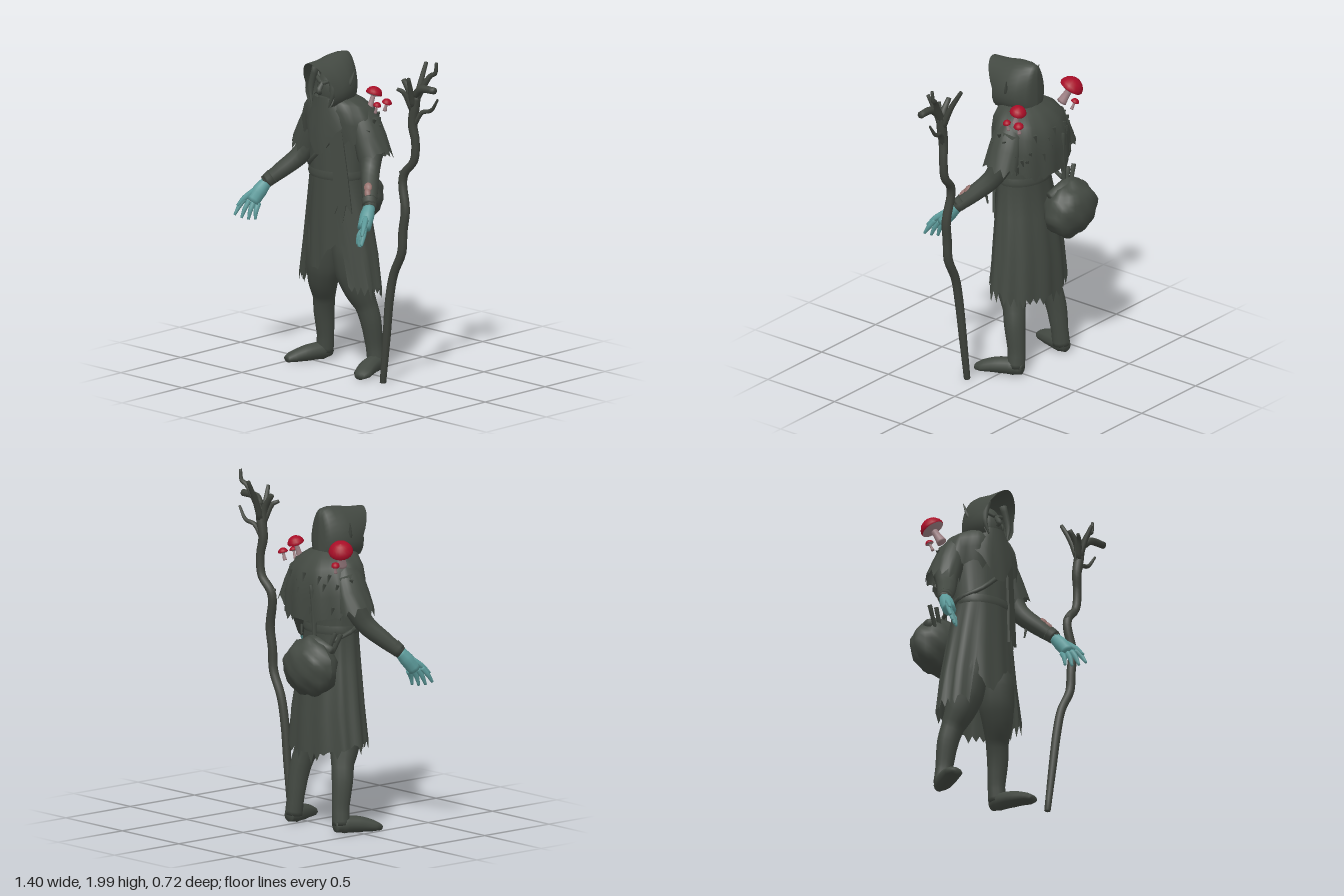
import * as THREE from 'three';

const mat = (name, color, side = THREE.FrontSide) => {
  const m = new THREE.MeshStandardMaterial({ color, side });
  m.name = name;
  return m;
};

// Seeded random numbers for ragged edges
let seed = 7;
const rand = () => (seed = (seed * 16807) % 2147483647) / 2147483647;

// Surface through a list of rings of Vector3
function skin(rings, closed = true) {
  const n = rings[0].length, index = [];
  for (let i = 0; i < rings.length - 1; i++) {
    for (let j = 0; j < (closed ? n : n - 1); j++) {
      const a = i * n + j, b = i * n + (j + 1) % n;
      index.push(a, b, a + n, b, b + n, a + n);
    }
  }
  const g = new THREE.BufferGeometry().setFromPoints(rings.flat());
  g.setIndex(index);
  g.computeVertexNormals();
  return g;
}

// Capped tapering tube; points are [x, y, z, radius, optional second radius]
function limb(points, sides = 8, steps = 4) {
  const p = points.map(([x, y, z]) => new THREE.Vector3(x, y, z));
  const curve = new THREE.CatmullRomCurve3(p);
  const chord = p[p.length - 1].clone().sub(p[0]);
  const ref = Math.abs(chord.z) < Math.abs(chord.y) ? new THREE.Vector3(0, 0, 1) : new THREE.Vector3(0, 1, 0);
  const total = steps * (points.length - 1), rings = [];
  for (let k = -1; k <= total + 1; k++) {
    const t = Math.min(Math.max(k / total, 0), 1), f = t * (points.length - 1);
    const i = Math.min(Math.floor(f), points.length - 2), w = f - i;
    const cap = k < 0 || k > total ? 0.01 : 1;
    const radius = (q) => cap * THREE.MathUtils.lerp(points[i][q] ?? points[i][3], points[i + 1][q] ?? points[i + 1][3], w);
    const c = curve.getPoint(t), d = curve.getTangent(t);
    const u = ref.clone().cross(d).normalize(), v = d.clone().cross(u);
    rings.push(Array.from({ length: sides }, (_, j) => {
      const a = j / sides * Math.PI * 2;
      return c.clone().addScaledVector(u, radius(3) * Math.cos(a)).addScaledVector(v, radius(4) * Math.sin(a));
    }));
  }
  return skin(rings);
}

// Draped cloth from bottom to top; sections are [y, rx, rz, cz]
function drape(sections, { n = 48, hem = () => 0, jag = 0, open = null, fold = 0 } = {}) {
  const last = sections.length - 1;
  return skin(sections.map(([y, rx, rz, cz], i) => {
    const t = i / last, gap = open ? THREE.MathUtils.lerp(open[0], open[1], t) : 0;
    return Array.from({ length: n }, (_, j) => {
      const a = open ? gap + (Math.PI * 2 - 2 * gap) * j / (n - 1) : j / n * Math.PI * 2;
      const r = 1 + fold * (1 - t) * Math.sin(a * 11) + 0.012 * (rand() - 0.5);
      const drop = i === 0 ? jag * (j % 2 ? rand() : 0.15) : 0;
      return new THREE.Vector3(rx * r * Math.sin(a), y + hem(a) * (1 - t) - drop, cz + rz * r * Math.cos(a));
    });
  }), !open);
}

export function createModel() {
  const cloth = mat('darkCloth', 0x434942, THREE.DoubleSide);
  const wood = mat('staffWood', 0x40443d);
  const teal = mat('tealSkin', 0x5d9c9c);
  const red = mat('mushroomRed', 0xa80d27);
  const pink = mat('mushroomFlesh', 0xa08286, THREE.DoubleSide);
  const skinTone = mat('bareSkin', 0x94706c);

  const model = new THREE.Group();
  const figure = new THREE.Group();
  figure.name = 'figure';
  figure.position.x = -0.18;
  model.add(figure);
  const add = (name, geometry, material, parent = figure) => {
    const m = new THREE.Mesh(geometry, material);
    m.name = name;
    parent.add(m);
    return m;
  };

  // Torso, coat and mantle
  add('tunic', drape([[0.8, 0.2, 0.15, 0.02], [1, 0.19, 0.145, 0.02], [1.2, 0.165, 0.125, 0.035], [1.42, 0.19, 0.135, 0.02], [1.6, 0.14, 0.11, 0.02]],
    { hem: (a) => -0.17 * Math.exp(-(((a + Math.PI) % (2 * Math.PI) - Math.PI + 0.25) ** 2) * 5), jag: 0.04, fold: 0.03 }), cloth);
  add('coat', drape([[0.56, 0.288, 0.17, 0], [0.75, 0.258, 0.164, 0], [1, 0.215, 0.148, 0.015], [1.2, 0.18, 0.132, 0.03], [1.45, 0.2, 0.145, 0.01]],
    { n: 56, hem: (a) => -0.08 * ((1 - Math.cos(a)) / 2) ** 2, jag: 0.09, open: [0.7, 0.3], fold: 0.04 }), cloth);
  add('belt', drape([[1.17, 0.184, 0.142, 0.03], [1.19, 0.19, 0.148, 0.03], [1.22, 0.184, 0.142, 0.03]]), cloth);
  add('mantle', drape([[1.36, 0.285, 0.182, -0.025], [1.46, 0.275, 0.19, -0.02], [1.54, 0.25, 0.185, -0.015], [1.6, 0.215, 0.165, -0.01], [1.64, 0.15, 0.13, 0.01], [1.66, 0.09, 0.09, 0.03]],
    { n: 56, hem: (a) => 0.09 * Math.cos(a), jag: 0.06, fold: 0.03 }), cloth);
  add('cowl', drape([[1.52, 0.195, 0.165, 0.03], [1.57, 0.175, 0.16, 0.035], [1.62, 0.14, 0.14, 0.045], [1.66, 0.11, 0.12, 0.06]],
    { n: 40, hem: (a) => -0.2 * Math.max(0, Math.cos(a)) ** 6, jag: 0.015, fold: 0.02 }), cloth);

  // Ragged tufts scattered over the mantle's back and sides
  for (let i = 0; i < 30; i++) {
    const a = 1.2 + (i * 0.618 % 1) * 3.9, y = 1.32 + 0.2 * rand(), s = y > 1.46 ? 0.94 : 0.98;
    const tuft = add('mantleTuft', new THREE.ConeGeometry(0.016, 0.055, 4), cloth);
    tuft.position.set(0.285 * s * Math.sin(a), y, -0.02 + 0.187 * s * Math.cos(a));
    tuft.rotation.set(Math.PI - 0.25 * Math.cos(a), 0, 0.25 * Math.sin(a));
  }

  // Hanging scarf end, turned to follow the chest
  const strip = new THREE.Shape([[0.07, 1.5], [0.15, 1.5], [0.19, 1.2], [0.215, 0.98], [0.18, 1.03], [0.16, 0.92], [0.13, 1.02], [0.11, 0.97], [0.1, 1.2]].map(([x, y]) => new THREE.Vector2(x, y)));
  const scarf = add('scarfEnd', new THREE.ExtrudeGeometry(strip, { depth: 0.015, bevelEnabled: false }), cloth);
  scarf.position.z = 0.2;
  scarf.rotation.y = 0.5;

  // Hood: arches from the closed back to the pointed front rim, [z, centre y, half width, height, lean]
  const arches = [[-0.072, 1.74, 0, 0.12, 0], [-0.066, 1.74, 0.05, 0.148, 0], [-0.05, 1.742, 0.085, 0.16, 0], [0, 1.745, 0.12, 0.163, 0], [0.06, 1.745, 0.137, 0.158, 0.01],
    [0.12, 1.735, 0.135, 0.15, 0.045], [0.175, 1.73, 0.118, 0.15, 0.09]];
  add('hood', skin(arches.map(([z, y, w, h, lean]) => Array.from({ length: 23 }, (_, j) => {
    const a = (1 - j / 11) * 2.45, c = Math.cos(a);
    return new THREE.Vector3(w * Math.sin(a) * (1 - 0.2 * c), y + h * c, z + lean * Math.max(0, c));
  })), false), cloth);

  // Face inside the hood
  const face = add('face', new THREE.SphereGeometry(1, 16, 12), cloth);
  face.scale.set(0.088, 0.125, 0.08);
  face.position.set(0, 1.7, 0.08);
  add('nose', limb([[0, 1.75, 0.145, 0.012], [0, 1.7, 0.185, 0.018], [0, 1.68, 0.17, 0.01]], 6), cloth);
  add('chin', limb([[0, 1.65, 0.12, 0.05], [0, 1.6, 0.14, 0.035], [0, 1.56, 0.15, 0.01]]), cloth);

  for (const s of [1, -1]) {
    const side = s > 0 ? 'left' : 'right';
    const part = (name, pts, m = cloth, sides = 9) => add(side + name, limb(pts.map(([x, ...r]) => [s * x, ...r]), sides), m);
    part('Brow', [[0.01, 1.745, 0.158, 0.012], [0.07, 1.77, 0.13, 0.012]]);
    part('HairLock', [[0.06, 1.83, 0.15, 0.022], [0.09, 1.7, 0.16, 0.018], [0.07, 1.61, 0.175, 0.004]]);
    part('Ear', [[0.1, 1.72, 0.07, 0.022, 0.014], [0.13, 1.75, 0.06, 0.017, 0.01], [0.152, 1.825, 0.04, 0.002]]);

    // Arm with ragged upper sleeve and cuff
    part('Arm', [[0.18, 1.52, -0.03, 0.085], [0.235, 1.38, -0.01, 0.075], [0.28, 1.25, 0.04, 0.059], [0.36, 1.15, 0.125, 0.05], [0.43, 1.075, 0.195, 0.038]]);
    const sleeve = add(side + 'Sleeve', drape([[-0.13, 0.09, 0.112, 0], [-0.04, 0.082, 0.107, 0], [0.06, 0.072, 0.097, 0], [0.13, 0.045, 0.06, 0]], { n: 24, jag: 0.08, fold: 0.06 }), cloth);
    sleeve.position.set(s * 0.215, 1.46, -0.01);
    sleeve.rotation.z = s * 0.36;
    part('Cuff', [[0.395, 1.112, 0.165, 0.047], [0.42, 1.083, 0.19, 0.042]]);

    // Open hand, thumb side turned out and forward
    part('Palm', [[0.42, 1.08, 0.19, 0.034, 0.034], [0.438, 1.03, 0.23, 0.045, 0.042], [0.456, 0.965, 0.275, 0.042, 0.038]], teal);
    for (let k = -1.5; k <= 1.5; k++) {
      const x = 0.458 + 0.021 * k, y = 0.97 + 0.007 * k, z = 0.278 + 0.017 * k, e = Math.abs(k) * 0.01;
      part('Finger', [[x, y, z, 0.017], [x + 0.008 * k + 0.006, y - 0.047 + e / 2, z + 0.026, 0.015], [x + 0.013 * k + 0.01, y - 0.105 + e, z + 0.046 + 0.006 * k, 0.008]], teal, 6);
    }
    part('Thumb', [[0.455, 1.03, 0.255, 0.02], [0.488, 0.99, 0.305, 0.017], [0.51, 0.945, 0.345, 0.009]], teal, 6);

    // Baggy trouser leg and boot
    part('Leg', [[0.09, 0.95, 0.01, 0.105], [0.105, 0.74, 0.03, 0.112], [0.12, 0.6, 0.02, 0.106], [0.145, 0.5, 0, 0.09], [0.172, 0.4, -0.035, 0.068], [0.192, 0.3, -0.055, 0.063], [0.2, 0.15, -0.075, 0.052], [0.21, 0.05, -0.08, 0.053]], cloth, 12);
    part('Boot', [[0.205, 0.045, -0.125, 0.03, 0.035], [0.215, 0.053, -0.07, 0.053, 0.053], [0.25, 0.047, 0.03, 0.056, 0.047], [0.285, 0.032, 0.11, 0.055, 0.032], [0.298, 0.02, 0.15, 0.03, 0.018]], cloth, 10);
  }

  // Bare patch on the left forearm
  for (const [x, y, z, w] of [[0.372, 1.178, 0.153, 0.026], [0.39, 1.15, 0.175, 0.02]]) {
    const patch = add('forearmPatch', new THREE.SphereGeometry(1, 10, 8), skinTone);
    patch.scale.set(w, 0.032, 0.017);
    patch.position.set(x, y, z);
    patch.rotation.set(-0.6, 0.3, 0.55);
  }
  add('armTie', limb([[0.31, 1.17, 0.07, 0.012], [0.3, 1.09, 0.06, 0.005]], 5), cloth);

  // Lumpy bag with flap, straps and utensil handles
  const bag = new THREE.SphereGeometry(1, 24, 16), pos = bag.attributes.position;
  for (let i = 0; i < pos.count; i++) {
    const x = pos.getX(i), y = pos.getY(i), z = pos.getZ(i);
    const r = 1 + 0.05 * Math.sin(9 * x + 2) * Math.sin(8 * y) + 0.03 * Math.sin(8 * z + 3 * y);
    pos.setXYZ(i, -0.11 + 0.188 * r * x, 1 + 0.17 * r * y, -0.23 + 0.13 * r * z);
  }
  bag.computeVertexNormals();
  add('bag', bag, cloth);
  add('bagRoll', limb([[-0.24, 1.1, -0.18, 0.03], [-0.11, 1.145, -0.21, 0.042], [0.02, 1.1, -0.18, 0.03]]), cloth);
  add('bagStrap', limb([[-0.1, 1.15, -0.19, 0.014], [-0.09, 1.32, -0.19, 0.013], [-0.08, 1.48, -0.2, 0.013]], 6), cloth);
  add('shoulderStrap', limb([[-0.17, 1.14, -0.12, 0.012], [-0.19, 1.2, 0.04, 0.014], [-0.1, 1.26, 0.15, 0.014], [0.08, 1.42, 0.15, 0.014]], 6), cloth);
  for (const k of [0, 1]) add('utensilHandle', limb([[-0.2 + 0.04 * k, 1.06, -0.15, 0.01], [-0.265 + 0.05 * k, 1.2, -0.13, 0.014]], 6), cloth);

  // Mushrooms growing on the shoulders
  function mushroom(x, y, z, r, h, tilt, back) {
    const g = new THREE.Group();
    g.name = 'mushroom';
    g.position.set(x, y, z);
    g.rotation.set(-back, 0, tilt);
    figure.add(g);
    const lathe = (pts) => new THREE.LatheGeometry(pts.map(([a, b]) => new THREE.Vector2(a * r, b * r)), 18);
    add('mushroomCap', lathe([[0.95, -0.08], [1, 0.04], [0.93, 0.28], [0.72, 0.58], [0.4, 0.78], [0, 0.85]]), red, g);
    add('mushroomGills', lathe([[0.25, -0.28], [0.65, -0.22], [0.95, -0.08]]), pink, g);
    add('mushroomStem', limb([[0, -h, 0, r * 0.42], [0, -h * 0.5, 0, r * 0.3], [0, 0.1 * r, 0, r * 0.27]], 9), pink, g);
  }
  mushroom(-0.253, 1.692, -0.12, 0.073, 0.11, 0.35, 0.42);
  mushroom(0.192, 1.672, -0.08, 0.05, 0.09, -0.1, 0.3);
  mushroom(0.252, 1.615, -0.045, 0.024, 0.05, -0.3, 0);
  mushroom(0.248, 1.615, -0.13, 0.03, 0.05, -0.25, 0.1);
  mushroom(-0.245, 1.61, -0.155, 0.025, 0.05, 0.3, 0.3);

  // Gnarled staff and its branches
  const staff = new THREE.Group();
  staff.name = 'staff';
  model.add(staff);
  add('staffShaft', limb([[0.262, 0.005, 0.1, 0.019], [0.298, 0.3, 0.105, 0.024], [0.325, 0.52, 0.11, 0.026], [0.36, 0.68, 0.11, 0.026], [0.425, 0.82, 0.11, 0.027],
    [0.435, 0.95, 0.11, 0.027], [0.45, 1.08, 0.105, 0.027], [0.418, 1.24, 0.095, 0.026], [0.43, 1.3, 0.09, 0.026], [0.495, 1.38, 0.08, 0.025], [0.508, 1.5, 0.08, 0.025],
    [0.495, 1.6, 0.09, 0.028], [0.51, 1.7, 0.09, 0.03], [0.525, 1.78, 0.09, 0.026]], 8), wood, staff);
  const branches = [
    [[0.51, 1.74, 0.09, 0.024], [0.56, 1.83, 0.08, 0.022], [0.61, 1.91, 0.06, 0.015], [0.64, 1.93, 0.05, 0.013], [0.65, 1.995, 0.05, 0.009]],
    [[0.53, 1.79, 0.1, 0.023], [0.58, 1.835, 0.11, 0.024], [0.69, 1.842, 0.105, 0.021]],
    [[0.5, 1.66, 0.09, 0.022], [0.49, 1.78, 0.1, 0.021], [0.43, 1.865, 0.1, 0.015]],
    [[0.51, 1.72, 0.08, 0.022], [0.5, 1.84, 0.03, 0.017], [0.485, 1.955, -0.035, 0.012]],
    [[0.5, 1.6, 0.09, 0.02], [0.55, 1.68, 0.07, 0.014], [0.61, 1.7, 0.055, 0.012], [0.665, 1.775, 0.055, 0.007]],
    [[0.51, 1.72, 0.1, 0.021], [0.525, 1.83, 0.14, 0.016], [0.54, 1.9, 0.17, 0.011]],
    [[0.5, 1.7, 0.1, 0.02], [0.47, 1.8, 0.14, 0.015], [0.44, 1.82, 0.165, 0.01]],
    [[0.425, 1.25, 0.095, 0.018], [0.41, 1.31, 0.1, 0.012]],
  ];
  for (const b of branches) add('staffBranch', limb(b, 7), wood, staff);

  return model;
}
